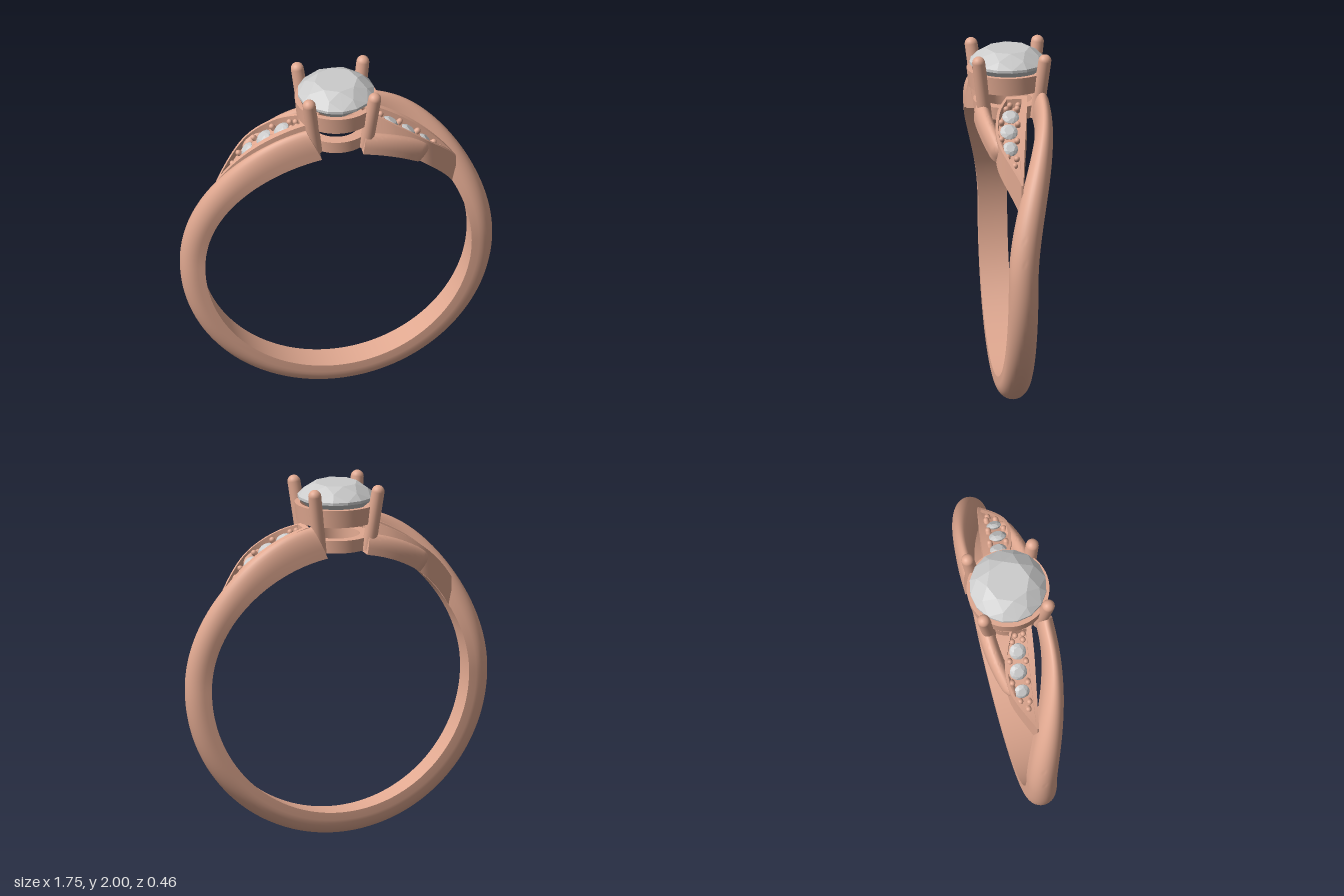
import * as THREE from 'three';
import { toCreasedNormals } from 'three/addons/utils/BufferGeometryUtils.js';
import { ConvexGeometry } from 'three/addons/geometries/ConvexGeometry.js';

const CY = 0.875, R_IN = 0.747, R_OUT = 0.875;
const metal = new THREE.MeshStandardMaterial({ color: 0xe0a890 });
const stone = new THREE.MeshStandardMaterial({ color: 0xcccccc });
const { lerp, smoothstep, degToRad } = THREE.MathUtils;

function add(parent, name, geometry, material = metal) {
  const mesh = new THREE.Mesh(geometry, material);
  mesh.name = name;
  parent.add(mesh);
  return mesh;
}

// Solid skinned over cross-sections; it either closes on itself or gets two end caps
function skin(rows, closed, crease) {
  const n = rows[0].length, last = (rows.length - 1) * n, idx = [];
  for (let i = 0; i < rows.length - (closed ? 0 : 1); i++) for (let j = 0; j < n; j++) {
    const k = (i + 1) % rows.length, m = (j + 1) % n;
    idx.push(i * n + j, k * n + j, i * n + m, i * n + m, k * n + j, k * n + m);
  }
  if (!closed) for (let j = 1; j < n - 1; j++) idx.push(0, j, j + 1, last, last + j + 1, last + j);
  const g = new THREE.BufferGeometry();
  g.setAttribute('position', new THREE.Float32BufferAttribute(rows.flat(2), 3));
  g.setIndex(idx);
  return toCreasedNormals(g, crease);
}

// D section swept round the finger, angles measured from the top towards +x
function sweep(from, to, steps, shapeAt) {
  const arc = 16, rows = [];
  for (let i = 0; i <= steps; i++) {
    const deg = lerp(from, to, i / steps);
    const { zc, hw, outer, slant } = shapeAt(deg);
    const wall = lerp(R_IN, outer, 0.33), row = [];
    const put = (z, r) => {
      const a = degToRad(deg + slant * (r - R_IN));
      row.push([r * Math.sin(a), CY + r * Math.cos(a), zc + z]);
    };
    for (let j = 0; j <= arc; j++) {
      const t = Math.PI * j / arc;
      put(hw * Math.cos(t), wall + (outer - wall) * Math.sin(t));
    }
    put(-hw, R_IN);
    put(hw, R_IN);
    rows.push(row);
  }
  return skin(rows, false, 0.7);
}

// Band: narrows and drifts to opposite sides towards its two slanted ends
function bandShape(deg) {
  const side = deg < 180 ? -1 : 1;
  const s = 1 - smoothstep(Math.min(deg, 360 - deg), 15, 90);
  return {
    zc: side * 0.168 * s, hw: lerp(0.08, 0.046, s * s),
    outer: lerp(R_OUT, 0.932, s * s), slant: -side * 18 * s ** 4,
  };
}

// Short strand beside the leaf, rounded off at its free end
function strandShape(deg) {
  const t = (deg - 9) / 29;
  const round = Math.sqrt(1 - Math.max(0, (t - 0.86) / 0.14) ** 2);
  return {
    zc: lerp(0.158, 0.085, t * t), hw: 0.044 * Math.max(round, 0.1),
    outer: lerp(R_IN, 0.86, 0.6 + 0.4 * round), slant: 0,
  };
}

// Brilliant-cut stone with its girdle at the origin and a girdle radius of 1
function brilliant() {
  const pts = [];
  const ring = (n, r, y, off = 0) => {
    for (let i = 0; i < n; i++) {
      const a = (i + off) / n * Math.PI * 2;
      pts.push(new THREE.Vector3(r * Math.cos(a), y, r * Math.sin(a)));
    }
  };
  ring(8, 0.56, 0.36);
  ring(8, 0.82, 0.21, 0.5);
  ring(16, 1, 0.03);
  ring(16, 1, -0.04);
  ring(8, 0.32, -0.6, 0.5);
  pts.push(new THREE.Vector3(0, -0.89, 0));
  return new ConvexGeometry(pts);
}

// Leaf edges in plan, [x, z] from the head to the tip
const edge = points =>
  new THREE.SplineCurve(points.map(p => new THREE.Vector2(...p))).getPoints(28);
const outerBack = edge([[0.185, -0.085], [0.34, -0.065], [0.5, -0.038], [0.672, -0.01]]);
const outerFront = edge([[0.185, 0.03], [0.32, 0.098], [0.5, 0.11], [0.672, 0]]);
const innerBack = edge([[0.21, -0.052], [0.35, -0.03], [0.49, -0.013], [0.645, 0]]);
const innerFront = edge([[0.21, 0.03], [0.33, 0.085], [0.49, 0.098], [0.645, 0.004]]);
const leafStones = [[0.32, 0.02, 0.047], [0.42, 0.04, 0.049], [0.515, 0.043, 0.043]];
const leafBeads = [[0.235, -0.03], [0.235, 0.015], [0.265, 0.038], [0.265, -0.022], [0.36, 0.075],
  [0.375, -0.014], [0.465, 0.086], [0.475, 0], [0.555, 0.062], [0.565, 0.012], [0.595, 0.025]];
const leafTop = x => CY + Math.sqrt((0.932 - 0.12 * x) ** 2 - x * x);
const leafBottom = x => CY + Math.sqrt(R_IN ** 2 - x * x);

// Upright strip of section between two plan points
const section = (p, q, low, high) => [
  [p.x, low(p.x), p.y], [p.x, high(p.x), p.y], [q.x, high(q.x), q.y], [q.x, low(q.x), q.y]];

function makeShoulder(gem) {
  const shoulder = new THREE.Group();
  shoulder.name = 'shoulder';

  const inner = [...innerBack, ...innerFront.toReversed()];
  const outer = [...outerBack, ...outerFront.toReversed()];
  const rim = inner.map((p, i) => section(p, outer[i], leafBottom, leafTop));
  add(shoulder, 'leafRim', skin(rim, true, 0.6));

  const floor = innerFront.map((p, i) =>
    section(p, innerBack[i], x => leafTop(x) - 0.085, x => leafTop(x) - 0.05));
  add(shoulder, 'leafFloor', skin(floor, false, 0.6));

  // Small stones with their seats, and the beads that hold them, tilted to follow the leaf
  const tilt = x => 1.2 * Math.atan((leafTop(x + 0.01) - leafTop(x - 0.01)) / 0.02);
  const place = (mesh, x, drop, z) => {
    mesh.rotation.z = tilt(x);
    mesh.position.set(x, leafTop(x), z).add(
      new THREE.Vector3(Math.sin(tilt(x)), -Math.cos(tilt(x)), 0).multiplyScalar(drop));
  };
  const seat = new THREE.CylinderGeometry(0.022, 0.022, 0.03, 20);
  for (const [x, z, r] of leafStones) {
    const m = add(shoulder, 'smallStone', gem, stone);
    m.scale.setScalar(r);
    place(m, x, 0.03, z);
    place(add(shoulder, 'stoneSeat', seat), x, 0.064, z);
  }
  const bead = new THREE.CapsuleGeometry(0.016, 0.03, 5, 12);
  for (const [x, z] of leafBeads) place(add(shoulder, 'bead', bead), x, 0.038, z);

  add(shoulder, 'sideStrand', sweep(9, 38, 40, strandShape));
  return shoulder;
}

// Closed ring of four-sided section: [inner, outer] radii at the bottom and the top
function collar(y0, y1, [i0, o0], [i1, o1]) {
  const profile = [[i0, y0], [o0, y0], [o1, y1], [i1, y1], [i0, y0]];
  return toCreasedNormals(
    new THREE.LatheGeometry(profile.map(p => new THREE.Vector2(...p)), 64), 0.6);
}

export function createModel() {
  const model = new THREE.Group();
  model.name = 'ring';
  add(model, 'band', sweep(9, 351, 160, bandShape));

  const gem = brilliant();
  for (const turn of [0, Math.PI]) {
    const shoulder = makeShoulder(gem);
    shoulder.rotation.y = turn;
    model.add(shoulder);
  }

  // Head: two collars, four prongs and the main stone
  const head = new THREE.Group();
  head.name = 'head';
  model.add(head);
  add(head, 'upperCollar', collar(1.78, 1.88, [0.165, 0.219], [0.2, 0.229]));
  add(head, 'lowerCollar', collar(1.628, 1.7, [0.128, 0.187], [0.132, 0.192]));
  const main = add(head, 'mainStone', gem, stone);
  main.position.y = 1.914;
  main.scale.setScalar(0.214);

  for (const sx of [-1, 1]) for (const sz of [-1, 1]) {
    const foot = new THREE.Vector3(sx * 0.142, 1.63, sz * 0.142);
    const tip = new THREE.Vector3(sx * 0.184, 1.965, sz * 0.184);
    const prong = new THREE.Group();
    prong.name = 'prong';
    prong.position.copy(foot);
    const axis = tip.clone().sub(foot), length = axis.length();
    prong.quaternion.setFromUnitVectors(new THREE.Vector3(0, 1, 0), axis.normalize());
    add(prong, 'prongShaft', new THREE.CylinderGeometry(0.036, 0.039, length, 20)).position.y = length / 2;
    add(prong, 'prongTip', new THREE.SphereGeometry(0.036, 20, 12)).position.y = length;
    head.add(prong);
  }
  return model;
}
